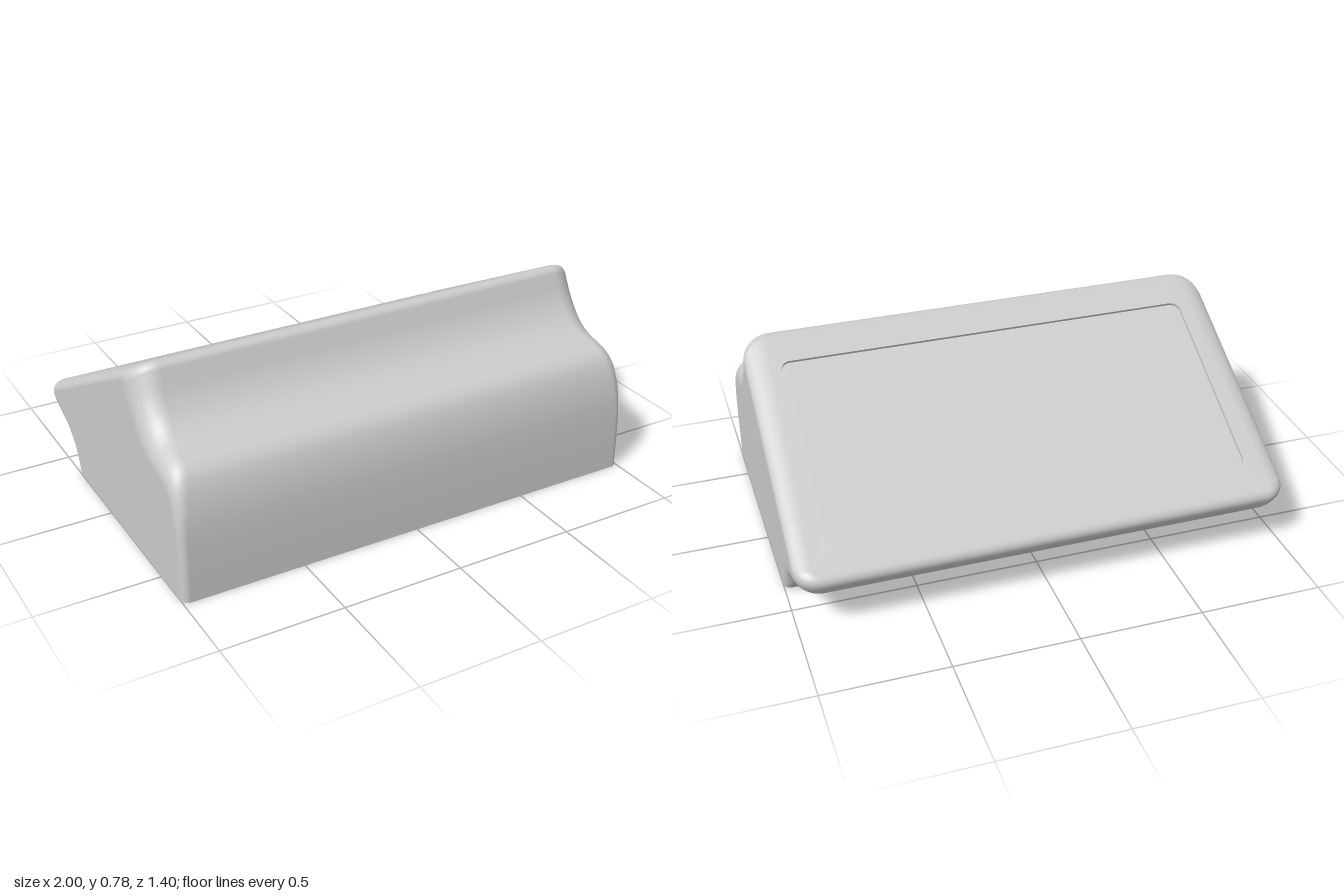
import * as THREE from 'three';

const material = new THREE.MeshStandardMaterial({ color: 0xcccccc });

function addMesh(parent, name, geometry) {
  const mesh = new THREE.Mesh(geometry, material);
  mesh.name = name;
  parent.add(mesh);
  return mesh;
}

// Rows of [outer z, outer y, inner z, inner y]: the full section, and the
// smaller flat end face it rounds over to.
const FRONT = [
  [0.70, 0, 0.67, 0], [0.698, 0.15, 0.668, 0.15], [0.689, 0.3, 0.66, 0.28],
  [0.67, 0.40, 0.64, 0.36], [0.64, 0.475, 0.61, 0.415], [0.60, 0.515, 0.57, 0.445],
  [0.55, 0.535, 0.52, 0.46], [0.48, 0.56, 0.44, 0.475], [0.42, 0.605, 0.36, 0.52],
  [0.37, 0.67, 0.29, 0.60], [0.335, 0.745, 0.245, 0.67], [0.32, 0.773, 0.235, 0.69],
  [0.295, 0.784, 0.22, 0.698], [0.265, 0.775, 0.20, 0.695],
];
const BACK = [
  [-0.66, 0.29, -0.595, 0.275], [-0.69, 0.268, -0.605, 0.268], [-0.698, 0.24, -0.605, 0.255],
  [-0.68, 0.205, -0.59, 0.245], [-0.645, 0.168, -0.56, 0.235], [-0.60, 0.148, -0.53, 0.225],
  [-0.55, 0.137, -0.49, 0.21], [-0.50, 0.125, -0.455, 0.19], [-0.45, 0.10, -0.41, 0.15],
  [-0.41, 0.065, -0.375, 0.105], [-0.36, 0, -0.33, 0],
];

function sampleRows(rows, column) {
  const points = rows.map((r) => new THREE.Vector2(r[column], r[column + 1]));
  return new THREE.SplineCurve(points).getPoints((rows.length - 1) * 4);
}

function roundedRect(x0, y0, x1, y1, r) {
  const s = new THREE.Shape();
  s.absarc(x1 - r, y1 - r, r, 0, Math.PI / 2);
  s.absarc(x0 + r, y1 - r, r, Math.PI / 2, Math.PI);
  s.absarc(x0 + r, y0 + r, r, Math.PI, Math.PI * 1.5);
  s.absarc(x1 - r, y0 + r, r, Math.PI * 1.5, Math.PI * 2);
  s.closePath();
  return s;
}

export function createModel() {
  const model = new THREE.Group();
  model.name = 'slopedHousing';

  const frontOuter = sampleRows(FRONT, 0);
  const slopeRow = frontOuter.length - 1;
  const outer = [...frontOuter, ...sampleRows(BACK, 0)];
  const inner = [...sampleRows(FRONT, 2), ...sampleRows(BACK, 2)];
  const radius = outer.map((p, k) => p.distanceTo(inner[k]));

  // Body skin: the section swept along x, rounding over at both ends
  const STEPS = 10;
  const columns = 2 * (STEPS + 1);
  const positions = [];
  outer.forEach((o, k) => {
    for (let j = 0; j < columns; j++) {
      const side = j <= STEPS ? 1 : -1;
      const step = side > 0 ? j : columns - 1 - j;
      const angle = (step / STEPS) * Math.PI / 2;
      const p = inner[k].clone().lerp(o, Math.sin(angle));
      positions.push(side * (1 - radius[k] * (1 - Math.cos(angle))), p.y, p.x);
    }
  });
  const indices = [];
  const openIndices = [];
  for (let k = 0; k < outer.length - 1; k++) {
    for (let j = 0; j < columns - 1; j++) {
      const a = k * columns + j;
      const b = a + columns;
      const quad = [a, b, a + 1, b, b + 1, a + 1];
      indices.push(...quad);
      // the sloped face stays open for the panel frame
      if (k !== slopeRow || j !== STEPS) openIndices.push(...quad);
    }
  }
  const skin = new THREE.BufferGeometry();
  skin.setAttribute('position', new THREE.Float32BufferAttribute(positions, 3));
  skin.setIndex(indices);
  skin.computeVertexNormals();
  skin.setIndex(openIndices);
  addMesh(model, 'body', skin);

  // Flat end faces
  for (const side of [1, -1]) {
    const outline = inner.map((p) => new THREE.Vector2(-side * p.x, p.y));
    const cap = new THREE.ShapeGeometry(new THREE.Shape(outline));
    cap.rotateY(side * Math.PI / 2).translate(side, 0, 0);
    addMesh(model, side > 0 ? 'leftEnd' : 'rightEnd', cap);
  }

  // Underside, following the rounded corners of the skin
  const rowAt = (k) => Array.from({ length: columns }, (_, j) => {
    const i = (k * columns + j) * 3;
    return new THREE.Vector2(positions[i], positions[i + 2]);
  });
  const base = new THREE.Shape([...rowAt(0), ...rowAt(outer.length - 1).reverse()]);
  addMesh(model, 'underside', new THREE.ShapeGeometry(base).rotateX(Math.PI / 2));

  // Sloped face: a frame around a shallow recessed panel
  const top = outer[slopeRow];
  const low = outer[slopeRow + 1];
  const length = top.distanceTo(low);
  const tilt = Math.atan2(top.y - low.y, top.x - low.x);
  const slope = new THREE.Group();
  slope.name = 'slopedFace';
  slope.position.set(0, top.y, top.x);
  slope.rotation.x = -(Math.PI / 2 + tilt);
  model.add(slope);

  const DEPTH = 0.012;
  const topX = 1 - radius[slopeRow];
  const lowX = 1 - radius[slopeRow + 1];
  const frame = new THREE.Shape([
    new THREE.Vector2(-topX, 0), new THREE.Vector2(topX, 0),
    new THREE.Vector2(lowX, length), new THREE.Vector2(-lowX, length),
  ]);
  const panel = roundedRect(-0.865, 0.119, 0.865, 0.948, 0.04);
  frame.holes.push(panel);
  const frameGeometry = new THREE.ExtrudeGeometry(frame, { depth: DEPTH, bevelEnabled: false, curveSegments: 8 });
  addMesh(slope, 'panelFrame', frameGeometry.translate(0, 0, -DEPTH));
  addMesh(slope, 'recessedPanel', new THREE.ShapeGeometry(panel, 8).translate(0, 0, -DEPTH));

  return model;
}
